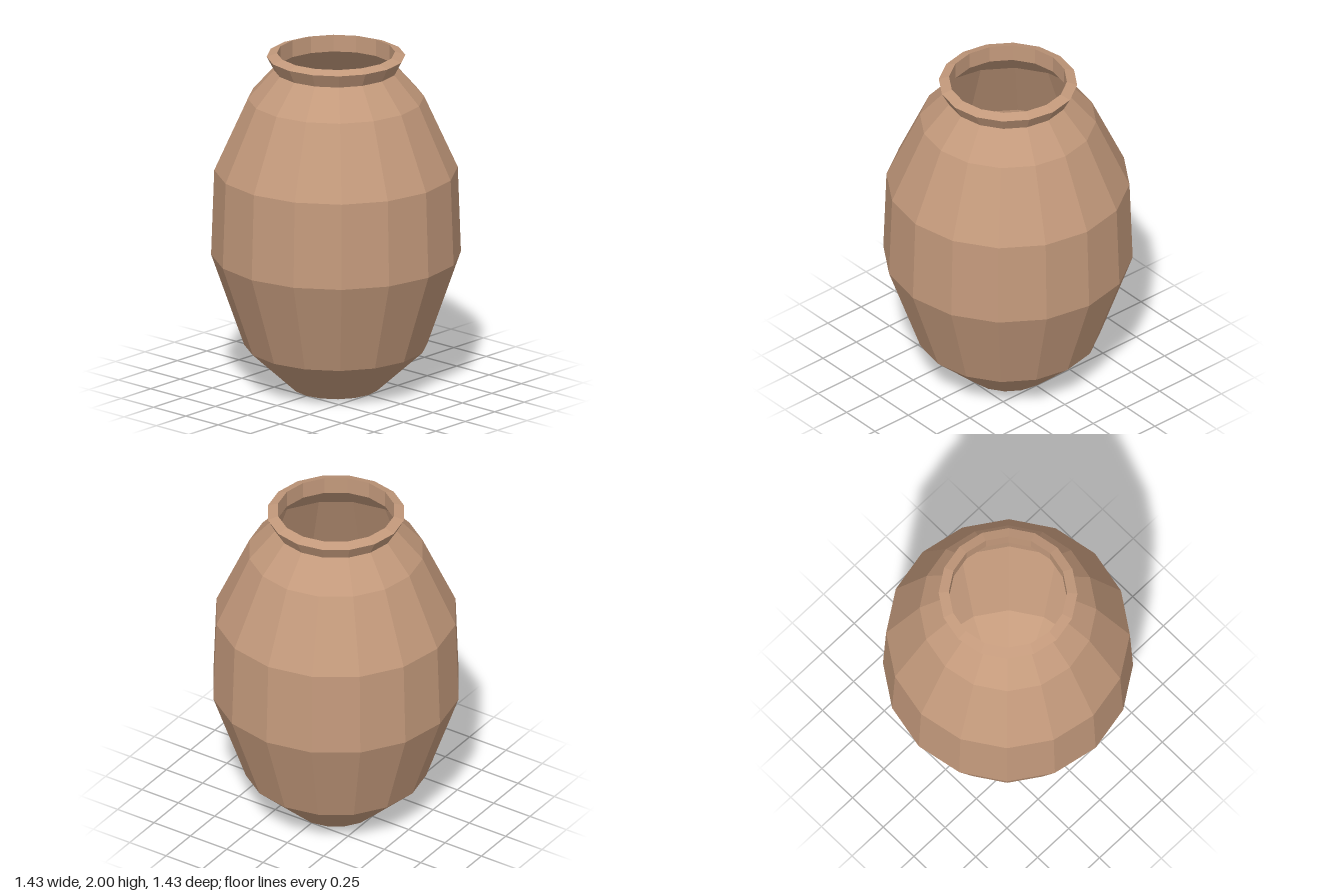
import * as THREE from 'three';

export function createModel() {
  const clay = new THREE.MeshStandardMaterial({ color: 0xc49a7c, flatShading: true, side: THREE.DoubleSide });
  clay.name = 'clay';
  const model = new THREE.Group();
  model.name = 'vase';

  // Sixteen-sided turned shell from a [radius, height] profile
  const turn = (name, profile) => {
    const points = profile.map(([r, y]) => new THREE.Vector2(r, y));
    const mesh = new THREE.Mesh(new THREE.LatheGeometry(points, 16), clay);
    mesh.name = name;
    model.add(mesh);
  };

  // Hollow body with its floor
  turn('body', [
    [0, 0], [0.25, 0], [0.525, 0.255], [0.715, 0.8],
    [0.697, 1.305], [0.505, 1.73], [0.355, 1.9],
  ]);

  // Flared lip, sloping rim and inside of the neck
  turn('lip', [[0.355, 1.9], [0.397, 1.98], [0.338, 2], [0.338, 1.9], [0.355, 1.9]]);

  return model;
}
